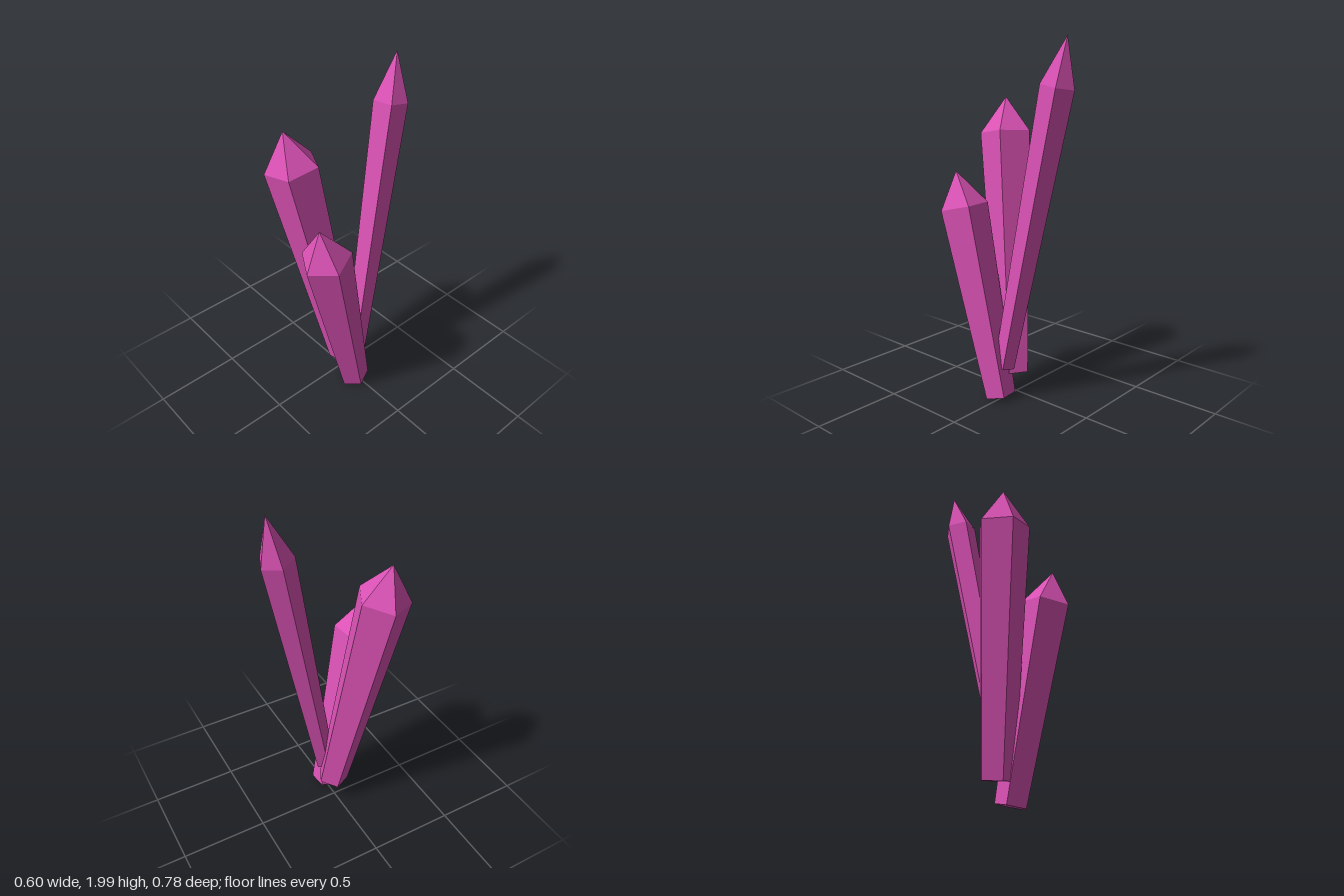
import * as THREE from 'three';

const material = new THREE.MeshStandardMaterial({ color: 0xdb52b5, flatShading: true });

// Tapered five-sided shaft with a pointed tip, leaning from base to shoulder
function crystal(name, { base, shoulder, baseRadius, radius, tipLength, turn }) {
  const from = new THREE.Vector3(...base);
  const axis = new THREE.Vector3(...shoulder).sub(from);
  const length = axis.length();
  const profile = [
    new THREE.Vector2(0, 0),
    new THREE.Vector2(baseRadius, 0),
    new THREE.Vector2(radius, length),
    new THREE.Vector2(0, length + tipLength),
  ];
  const geometry = new THREE.LatheGeometry(profile, 5, THREE.MathUtils.degToRad(turn));
  const mesh = new THREE.Mesh(geometry, material);
  mesh.name = name;
  mesh.position.copy(from);
  mesh.quaternion.setFromUnitVectors(new THREE.Vector3(0, 1, 0), axis.normalize());
  return mesh;
}

export function createModel() {
  const group = new THREE.Group();
  group.name = 'crystalCluster';
  group.add(
    // Tall thin crystal leaning back
    crystal('tallCrystal', {
      base: [0.106, 0.2, -0.007], shoulder: [0.029, 1.75, -0.301],
      baseRadius: 0.06, radius: 0.094, tipLength: 0.253, turn: 49,
    }),
    // Thick crystal leaning to the front right
    crystal('middleCrystal', {
      base: [0.022, 0.14, 0.0], shoulder: [-0.152, 1.48, 0.204],
      baseRadius: 0.094, radius: 0.15, tipLength: 0.203, turn: 45,
    }),
    // Short crystal leaning forward
    crystal('shortCrystal', {
      base: [0.127, 0.025, 0.014], shoulder: [0.161, 1.09, 0.253],
      baseRadius: 0.09, radius: 0.14, tipLength: 0.2, turn: 77,
    }),
  );
  return group;
}
